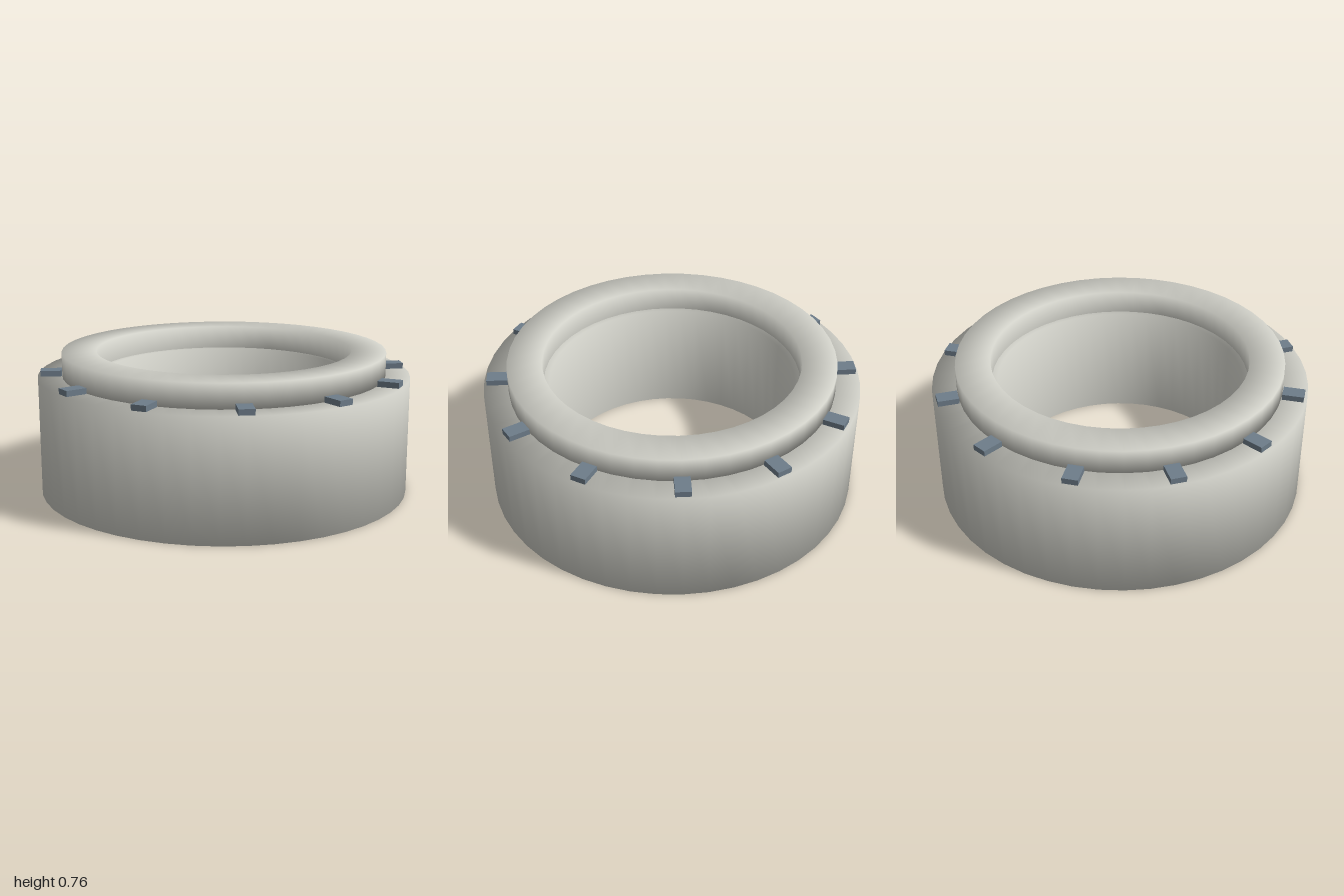
import * as THREE from 'three';

const shell = new THREE.MeshStandardMaterial({ color: 0xd0d0c8 });
shell.name = 'warmGrey';
const slate = new THREE.MeshStandardMaterial({ color: 0x6e7d8a });
slate.name = 'slateGrey';

// Ring with a rectangular section and softly shaded corners
function ring(name, inner, outer, bottom, top) {
  const section = [[inner, bottom], [outer, bottom], [outer, top], [inner, top], [inner, bottom]]
    .map(([r, y]) => new THREE.Vector2(r, y));
  const mesh = new THREE.Mesh(new THREE.LatheGeometry(section, 48), shell);
  mesh.name = name;
  return mesh;
}

export function createModel() {
  const model = new THREE.Group();
  model.name = 'bezelRing';

  // Main body and raised collar
  model.add(ring('body', 0.655, 1, 0, 0.63));
  model.add(ring('collar', 0.685, 0.87, 0.63, 0.757));

  // Twelve marker blocks on the shoulder
  const block = new THREE.BoxGeometry(0.112, 0.04, 0.08);
  const markers = new THREE.Group();
  markers.name = 'markers';
  for (let i = 0; i < 12; i++) {
    const a = (i / 12) * Math.PI * 2;
    const marker = new THREE.Mesh(block, slate);
    marker.name = 'marker';
    marker.position.set(Math.cos(a) * 0.928, 0.64, Math.sin(a) * 0.928);
    marker.rotation.y = -a;
    markers.add(marker);
  }
  model.add(markers);
  return model;
}
